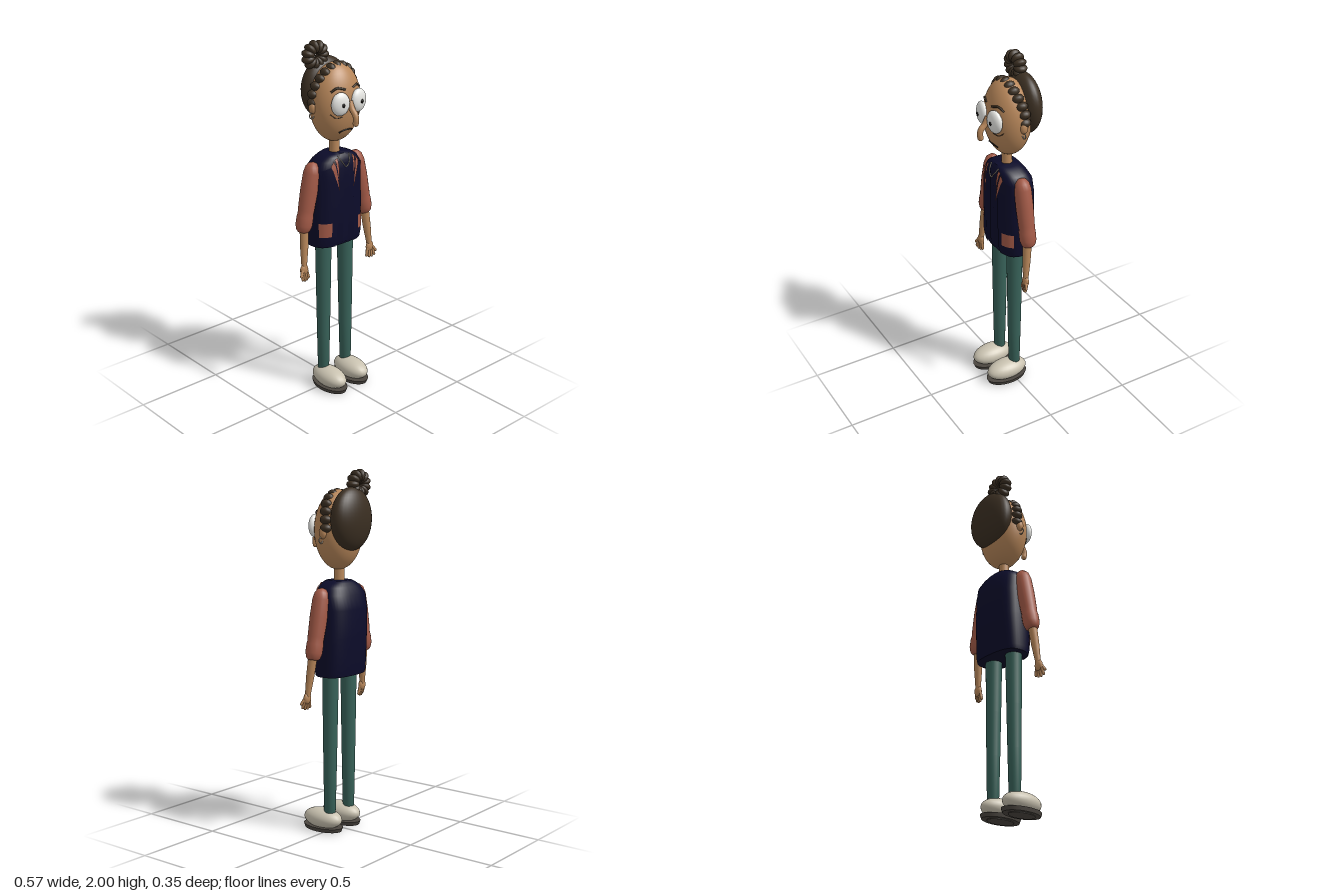
import * as THREE from 'three';
import { toCreasedNormals } from 'three/addons/utils/BufferGeometryUtils.js';

const mat = (name, color, side = THREE.FrontSide) => {
  const m = new THREE.MeshStandardMaterial({ color, side });
  m.name = name;
  return m;
};
const V = (x, y, z) => new THREE.Vector3(x, y, z);

export function createModel() {
  const skin = mat('skin', 0xb8875a);
  const hair = mat('hair', 0x3b2f22);
  const navy = mat('navy', 0x0c0c2a, THREE.DoubleSide);
  const salmon = mat('salmon', 0xa35a47, THREE.DoubleSide);
  const trousers = mat('trousers', 0x386259);
  const cream = mat('shoe cream', 0xc9c2b0);
  const soleGrey = mat('sole', 0x4b4640);
  const white = mat('eye white', 0xf0f0ec);
  const black = mat('black', 0x14110f);
  const silver = mat('silver', 0xb4ab9c);

  const model = new THREE.Group();
  const head = new THREE.Group();
  head.name = 'head';
  head.position.x = 0.005;
  model.add(head);

  const add = (parent, name, geo, material) => {
    const m = new THREE.Mesh(geo, material);
    m.name = name;
    parent.add(m);
    return m;
  };
  const ball = (parent, name, material, p, r, seg = 24) => {
    const m = add(parent, name, new THREE.SphereGeometry(1, seg, Math.ceil(seg * 0.7)), material);
    m.position.set(...p);
    m.scale.set(...r);
    return m;
  };
  // Round limb from a to b; profile holds [fraction along, radius]
  const limb = (parent, name, material, a, b, profile, seg = 20) => {
    const A = V(...a), d = V(...b).sub(A), len = d.length();
    const pts = profile.map(([t, r]) => new THREE.Vector2(r, t * len));
    const m = add(parent, name, new THREE.LatheGeometry(pts, seg), material);
    m.position.copy(A);
    m.quaternion.setFromUnitVectors(V(0, 1, 0), d.normalize());
    return m;
  };
  const tube = (parent, name, material, pts, r, seg = 16, sides = 8) =>
    add(parent, name, new THREE.TubeGeometry(
      new THREE.CatmullRomCurve3(pts.map(p => V(...p))), seg, r, sides), material);

  // ---- Torso: rounded-box cross-sections [y, half width, front z, back z]
  const rows = [
    [0.885, 0.160, 0.070, -0.112], [0.91, 0.165, 0.078, -0.117], [1.10, 0.163, 0.082, -0.128],
    [1.25, 0.160, 0.082, -0.130], [1.33, 0.156, 0.080, -0.118], [1.37, 0.130, 0.073, -0.095],
    [1.39, 0.100, 0.066, -0.080], [1.403, 0.068, 0.056, -0.068]];
  const rowAt = y => {
    let i = 0;
    while (i < rows.length - 2 && y > rows[i + 1][0]) i++;
    const t = THREE.MathUtils.clamp((y - rows[i][0]) / (rows[i + 1][0] - rows[i][0]), 0, 1);
    return rows[i].map((v, k) => v + (rows[i + 1][k] - v) * t);
  };
  const N = 2.7;
  const frontZ = (x, y) => {
    const [, w, f, b] = rowAt(y), mid = (f + b) / 2;
    return mid + (f - mid) * Math.pow(Math.max(0, 1 - Math.pow(Math.abs(x / w), N)), 1 / N);
  };
  const outline = [[0, 0.885], ...rows.map(r => [1, r[0]]), [0, 1.403]];
  const torso = new THREE.LatheGeometry(outline.map(p => new THREE.Vector2(...p)), 40);
  const tp = torso.attributes.position;
  const power = v => Math.sign(v) * Math.pow(Math.abs(v), 2 / N);
  for (let i = 0; i < tp.count; i++) {
    const [, w, f, b] = rowAt(tp.getY(i));
    tp.setX(i, power(tp.getX(i)) * w);
    tp.setZ(i, (f + b) / 2 + power(tp.getZ(i)) * (f - b) / 2);
  }
  add(model, 'vest', toCreasedNormals(torso, 0.9), navy);

  // Thin patch lying on the chest, spanned by four [x, y] corners
  const patch = (name, material, c, lift) => {
    const g = new THREE.PlaneGeometry(1, 1, 6, 12), p = g.attributes.position;
    const mix = THREE.MathUtils.lerp;
    for (let i = 0; i < p.count; i++) {
      const u = p.getX(i) + 0.5, v = p.getY(i) + 0.5;
      const x = mix(mix(c[0][0], c[1][0], u), mix(c[3][0], c[2][0], u), v);
      const y = mix(mix(c[0][1], c[1][1], u), mix(c[3][1], c[2][1], u), v);
      p.setXYZ(i, x, y, frontZ(x, y) + lift);
    }
    g.computeVertexNormals();
    add(model, name, g, material);
  };
  patch('placket', navy, [[-0.018, 0.9], [0.018, 0.9], [0.018, 1.36], [-0.018, 1.36]], 0.004);
  for (const s of [-1, 1]) {
    patch('vestPanel', navy, [[s * 0.065, 0.885], [s * 0.15, 0.885], [s * 0.14, 1.33], [s * 0.05, 1.36]], 0.005);
    patch('pocket', salmon, [[s * 0.095, 0.95], [s * 0.155, 0.95], [s * 0.155, 1.03], [s * 0.095, 1.03]], 0.009);
    patch('lapelOuter', salmon, [[s * 0.048, 1.21], [s * 0.05, 1.21], [s * 0.097, 1.352], [s * 0.076, 1.378]], 0.01);
    patch('lapelInner', salmon, [[s * 0.052, 1.27], [s * 0.054, 1.27], [s * 0.069, 1.383], [s * 0.05, 1.392]], 0.01);
  }
  tube(model, 'necklace', silver, [[-0.04, 1.398, 0.062], [-0.022, 1.36, 0.085],
    [0, 1.335, 0.087], [0.022, 1.36, 0.085], [0.04, 1.398, 0.062]], 0.003, 24, 6);
  limb(model, 'neck', skin, [0, 1.37, -0.01], [0, 1.5, -0.01], [[0, 0.03], [1, 0.027]]);

  // ---- Arms, legs and shoes, mirrored
  for (const s of [-1, 1]) {
    limb(model, 'sleeve', salmon, [s * 0.148, 1.372, -0.012], [s * 0.228, 0.99, -0.01],
      [[0, 0], [0.02, 0.022], [0.07, 0.038], [0.16, 0.046], [0.4, 0.048], [0.68, 0.045], [0.74, 0.043],
        [0.78, 0.046], [0.9, 0.046], [0.97, 0.038], [1, 0.028], [1, 0]]);
    limb(model, 'forearm', skin, [s * 0.222, 1.01, -0.005], [s * 0.243, 0.79, 0.016],
      [[0, 0.025], [0.5, 0.022], [0.9, 0.016], [1, 0.016]]);
    ball(model, 'palm', skin, [s * 0.244, 0.78, 0.017], [0.026, 0.032, 0.016], 16);
    const tip = [[0, 0.009], [0.85, 0.008], [0.96, 0.005], [1, 0]];
    for (let i = 0; i < 4; i++)
      limb(model, 'finger', skin, [s * (0.228 + i * 0.011), 0.775, 0.018],
        [s * (0.216 + i * 0.017), 0.722 - (i % 3 ? 0.008 : 0), 0.022 + i * 0.004], tip, 10);
    limb(model, 'thumb', skin, [s * 0.255, 0.785, 0.02], [s * 0.28, 0.745, 0.034], tip, 10);

    limb(model, 'trouserLeg', trousers, [s * 0.084, 0.1, -0.01], [s * 0.08, 0.92, -0.012],
      [[0, 0], [0, 0.032], [0.3, 0.037], [0.6, 0.041], [1, 0.046]], 24);
    ball(model, 'shoe', cream, [s * 0.083, 0.067, 0.04], [0.07, 0.057, 0.124]);
    const sole = add(model, 'sole', new THREE.CylinderGeometry(0.075, 0.07, 0.022, 32), soleGrey);
    sole.position.set(s * 0.081, 0.015, 0.04);
    sole.scale.z = 1.7;
    const heel = add(model, 'soleBase', new THREE.CylinderGeometry(0.05, 0.05, 0.008, 24), soleGrey);
    heel.position.set(s * 0.081, 0.004, 0.04);
    heel.scale.z = 1.7;
  }

  // ---- Head
  ball(head, 'skull', skin, [0, 1.675, -0.01], [0.15, 0.215, 0.12], 40);
  const faceZ = (x, y) =>
    -0.01 + 0.12 * Math.sqrt(Math.max(0, 1 - (x / 0.15) ** 2 - ((y - 1.675) / 0.215) ** 2));
  const faceLine = (name, material, pts, r) =>
    tube(head, name, material, pts.map(([x, y]) => [x, y, faceZ(x, y) + 0.002]), r, 16, 6);

  tube(head, 'nose', skin, [[0, 1.70, 0.105], [0, 1.66, 0.125], [0, 1.635, 0.148],
    [0, 1.61, 0.155], [0, 1.59, 0.152]], 0.016, 20, 16);
  ball(head, 'noseTip', skin, [0, 1.588, 0.152], [0.016, 0.016, 0.016], 16);
  faceLine('mouth', black, [[-0.046, 1.529], [-0.025, 1.54], [0.025, 1.54], [0.046, 1.531]], 0.004);

  for (const s of [-1, 1]) {
    const eye = ball(head, 'eye', white, [s * 0.063, 1.695, 0.103], [0.055, 0.063, 0.028]);
    eye.rotation.y = s * 0.15;
    ball(head, 'pupil', black, [s * 0.065, 1.693, 0.131], [0.01, 0.011, 0.005], 12);
    faceLine('eyebrow', hair, [[s * 0.1, 1.757], [s * 0.07, 1.776], [s * 0.025, 1.766]], 0.006);
    faceLine('eyeBag', hair, [[s * 0.107, 1.64], [s * 0.08, 1.618], [s * 0.045, 1.622]], 0.002);
    ball(head, 'ear', skin, [s * 0.15, 1.665, -0.02], [0.018, 0.033, 0.022], 16);
    const hoop = add(head, 'earring', new THREE.TorusGeometry(0.016, 0.003, 8, 20), silver);
    hoop.position.set(s * 0.158, 1.626, -0.015);
  }

  // ---- Hair: back cap, braided band and ring-shaped bun
  ball(head, 'hairCap', hair, [0.005, 1.735, -0.1], [0.153, 0.17, 0.076], 32);
  const beads = 13;
  for (let i = 0; i < beads; i++) {
    const a = -0.1 + (Math.PI + 0.2) * i / (beads - 1), c = Math.cos(a);
    const m = ball(head, 'braid', hair, [0.136 * c, 1.705 + 0.16 * Math.sin(a), -0.032 * c ** 4],
      [0.032, 0.025, 0.034], 16);
    m.rotation.z = a;
  }
  for (let i = 0; i < 11; i++) {
    const a = Math.PI * 2 * i / 11;
    const m = ball(head, 'bun', hair, [-0.063 + 0.05 * Math.cos(a), 1.918 + 0.046 * Math.sin(a), -0.096],
      [0.036, 0.022, 0.036], 16);
    m.rotation.z = a;
  }
  return model;
}
